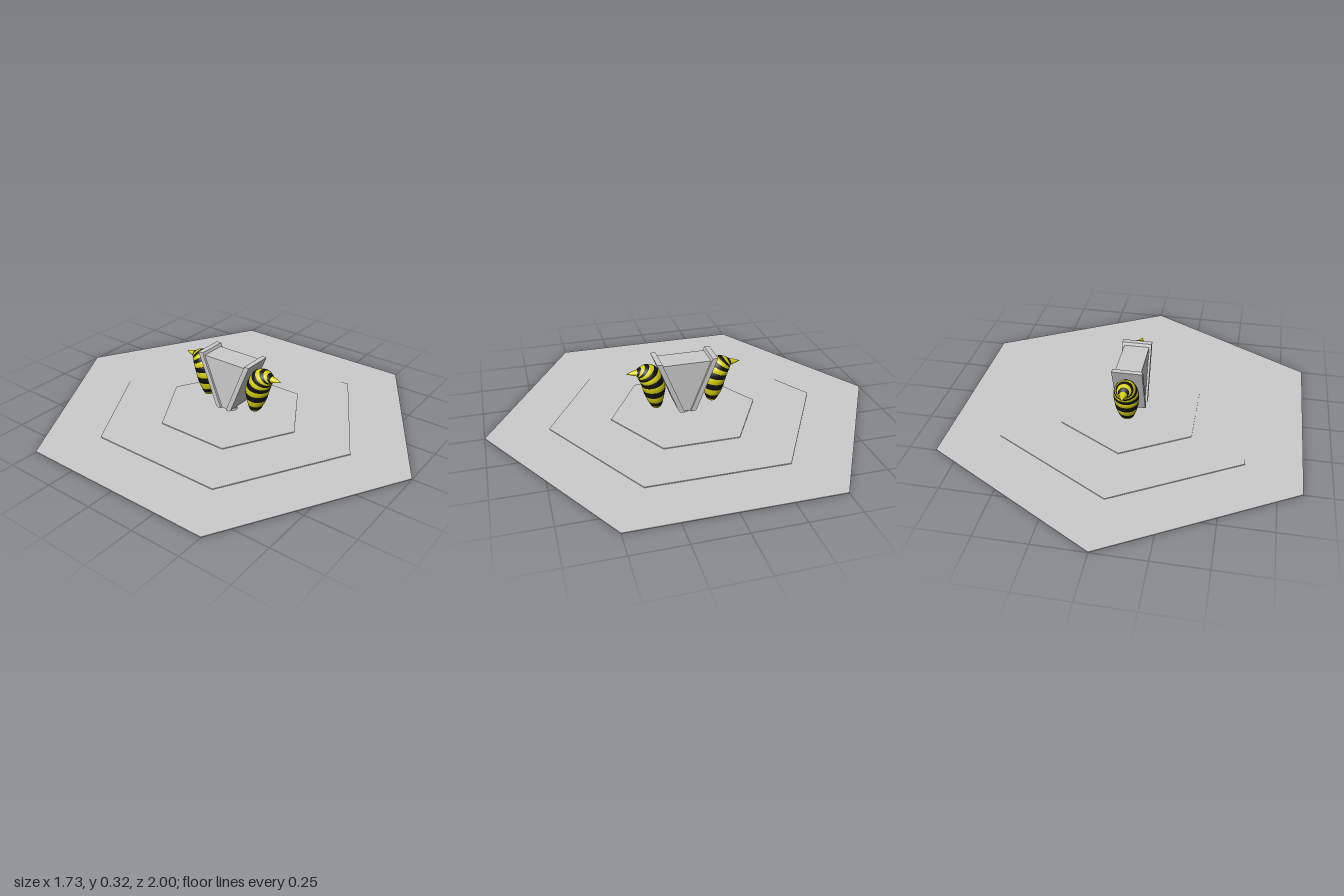
import * as THREE from 'three';

const grey = new THREE.MeshStandardMaterial({ color: 0xcccccc });
const yellow = new THREE.MeshStandardMaterial({ color: 0xd8d010 });
const black = new THREE.MeshStandardMaterial({ color: 0x111111 });

function add(parent, name, geometry, material = grey) {
  const mesh = new THREE.Mesh(geometry, material);
  mesh.name = name;
  parent.add(mesh);
  return mesh;
}

// Prism from a (z, y) outline, centred across x
function prism(outline, width) {
  const shape = new THREE.Shape(outline.map(([z, y]) => new THREE.Vector2(z, y)));
  const g = new THREE.ExtrudeGeometry(shape, { depth: width, bevelEnabled: false });
  return g.translate(0, 0, -width / 2).rotateY(-Math.PI / 2);
}

// Skin over elliptical rings; each ring has a front point, a back point and a half width
function loft(rings, sides = 28) {
  const pos = [], index = [];
  rings.forEach(([zf, yf, zb, yb, w]) => {
    for (let k = 0; k < sides; k++) {
      const a = (k / sides) * Math.PI * 2, c = Math.cos(a);
      pos.push(w * Math.sin(a), (yf + yb) / 2 + c * (yf - yb) / 2, (zf + zb) / 2 + c * (zf - zb) / 2);
    }
  });
  for (let j = 0; j < rings.length - 1; j++) {
    for (let k = 0; k < sides; k++) {
      const n = (k + 1) % sides, a = j * sides + k, b = j * sides + n;
      index.push(a, b, b + sides, a, b + sides, a + sides);
    }
  }
  const g = new THREE.BufferGeometry();
  g.setAttribute('position', new THREE.Float32BufferAttribute(pos, 3));
  g.setIndex(index);
  g.computeVertexNormals();
  return g;
}

// Curled abdomen rings: front z, front y, back z, back y, half width
const abdomenRings = [
  [0.150, 0.050, 0.142, 0.050, 0.004],
  [0.167, 0.058, 0.125, 0.060, 0.027],
  [0.181, 0.080, 0.114, 0.085, 0.040],
  [0.200, 0.120, 0.105, 0.130, 0.053],
  [0.212, 0.160, 0.100, 0.175, 0.060],
  [0.220, 0.190, 0.113, 0.220, 0.062],
  [0.228, 0.210, 0.131, 0.260, 0.058],
  [0.235, 0.225, 0.156, 0.284, 0.050],
  [0.239, 0.235, 0.188, 0.292, 0.040],
  [0.242, 0.238, 0.215, 0.287, 0.029],
  [0.246, 0.241, 0.240, 0.272, 0.019],
];

function stripedAbdomen(name) {
  const group = new THREE.Group();
  group.name = name;
  const front = new THREE.CatmullRomCurve3(abdomenRings.map(r => new THREE.Vector3(r[4], r[1], r[0])));
  const back = new THREE.CatmullRomCurve3(abdomenRings.map(r => new THREE.Vector3(0, r[3], r[2])));
  const bands = 13, steps = 4;
  for (let i = 0; i < bands; i++) {
    const rings = [];
    for (let s = 0; s <= steps; s++) {
      const t = (i + s / steps) / bands;
      const f = front.getPoint(t), b = back.getPoint(t);
      // each band swells slightly in its middle
      const swell = 0.02 * Math.sin((s / steps) * Math.PI);
      const dz = (f.z - b.z) * swell, dy = (f.y - b.y) * swell;
      rings.push([f.z + dz, f.y + dy, b.z - dz, b.y - dy, f.x * (1 + swell)]);
    }
    add(group, i % 2 ? 'yellowBand' : 'blackBand', loft(rings), i % 2 ? yellow : black);
  }
  // Pointed sting
  add(group, 'sting', loft([
    [0.246, 0.241, 0.240, 0.272, 0.019],
    [0.262, 0.245, 0.260, 0.268, 0.013],
    [0.295, 0.255, 0.295, 0.256, 0.0005],
  ]), yellow);
  return group;
}

export function createModel() {
  const model = new THREE.Group();
  model.name = 'mountedEmblem';

  // Stepped hexagonal base
  const step = 0.0043;
  [1, 0.69, 0.38].forEach((radius, i) => {
    const tier = add(model, 'baseTier', new THREE.CylinderGeometry(radius, radius, step, 6).toNonIndexed());
    tier.geometry.computeVertexNormals();
    tier.position.y = step * (i + 0.5);
  });

  // Short stem on a foot disc
  add(model, 'foot', new THREE.CylinderGeometry(0.025, 0.027, 0.011, 24)).position.y = 0.018;
  add(model, 'stem', new THREE.CylinderGeometry(0.009, 0.009, 0.03, 16)).position.y = 0.033;

  // Wedge-shaped body
  add(model, 'body', prism([[-0.025, 0.04], [0.025, 0.04], [0.128, 0.305], [-0.128, 0.305]], 0.128));

  // A leaning panel and an abdomen on the front and the back
  [0, Math.PI].forEach((turn, i) => {
    const side = new THREE.Group();
    side.name = i ? 'backSide' : 'frontSide';
    side.rotation.y = turn;
    add(side, 'panel', prism([[0.016, 0.04], [0.038, 0.04], [0.046, 0.048], [0.155, 0.32], [0.128, 0.32]], 0.15));
    side.add(stripedAbdomen('abdomen'));
    model.add(side);
  });
  return model;
}
